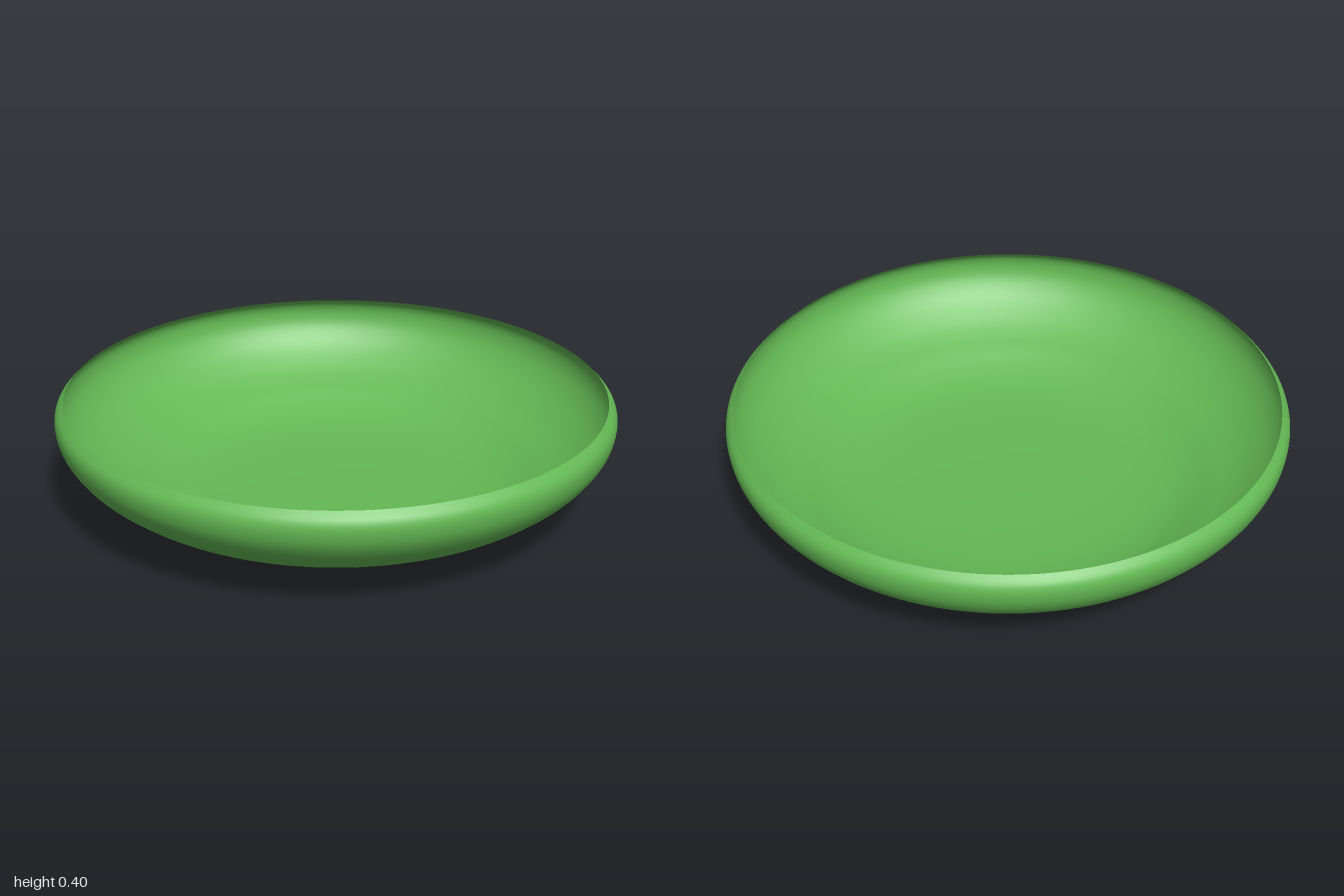
import * as THREE from 'three';

export function createModel() {
  const group = new THREE.Group();
  group.name = 'dish';

  // Thin wall profile: flat base, soft foot, flaring side, rim curling inward
  const profile = new THREE.SplineCurve([
    [0, 0], [0.2, 0.001], [0.4, 0.005], [0.52, 0.014], [0.61, 0.032], [0.68, 0.057],
    [0.75, 0.09], [0.81, 0.118], [0.87, 0.154], [0.94, 0.212], [0.985, 0.275],
    [1, 0.33], [0.993, 0.37], [0.967, 0.4],
  ].map(([x, y]) => new THREE.Vector2(x, y)));
  const points = profile.getPoints(64);
  points.forEach((p) => p.set(Math.max(0, p.x), Math.max(0, p.y)));

  const bowl = new THREE.Mesh(
    new THREE.LatheGeometry(points, 128),
    new THREE.MeshStandardMaterial({ color: 0x64b954, side: THREE.DoubleSide }),
  );
  bowl.name = 'bowl';
  group.add(bowl);
  return group;
}
